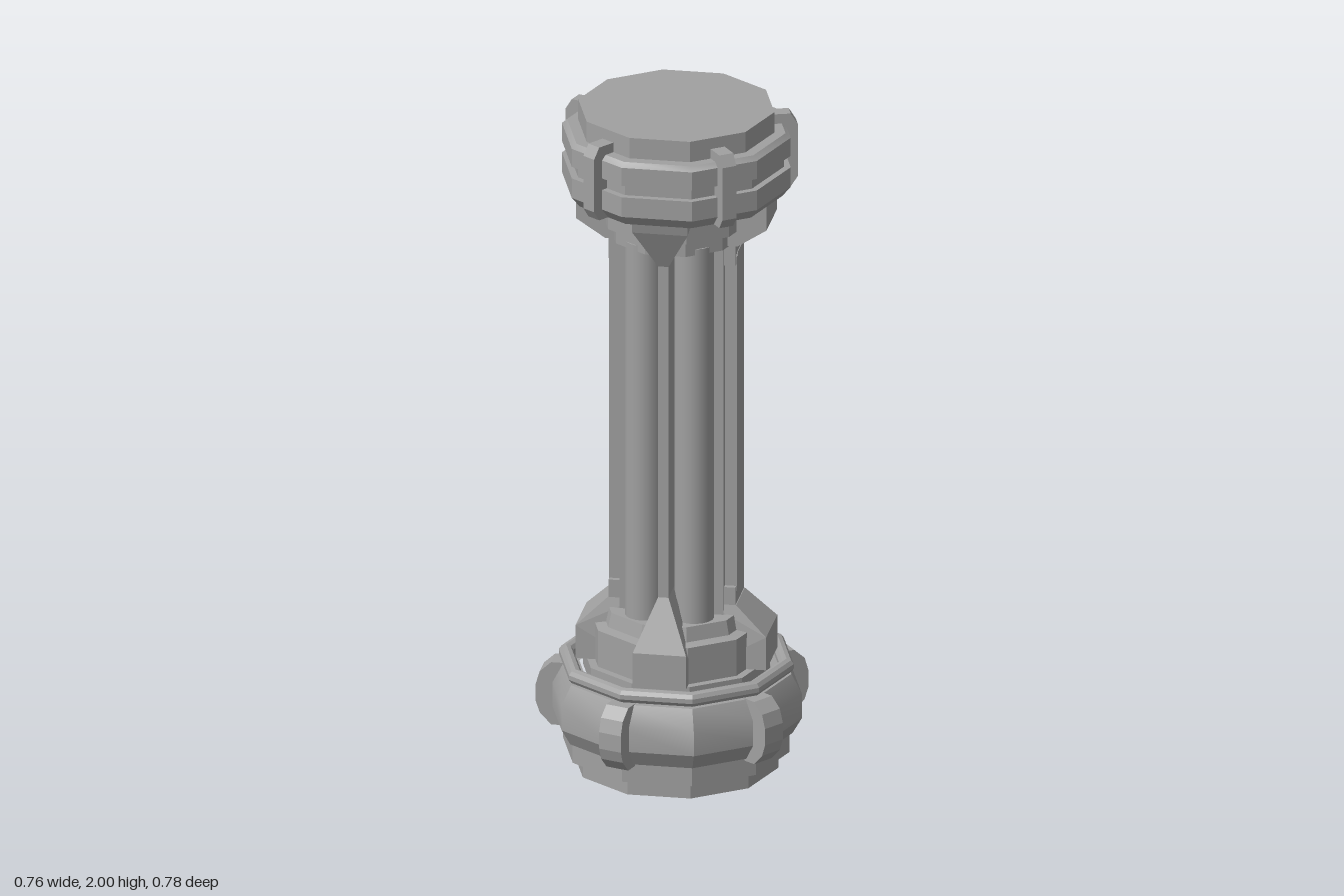
import * as THREE from 'three';
import { toCreasedNormals } from 'three/addons/utils/BufferGeometryUtils.js';
import { ConvexGeometry } from 'three/addons/geometries/ConvexGeometry.js';

const metal = new THREE.MeshStandardMaterial({ color: 0xa0a0a0 });
metal.name = 'grey metal';
const DEG = Math.PI / 180;

export function createModel() {
  const root = new THREE.Group();
  root.name = 'pillarHandle';
  root.position.x = 0.015;

  function add(name, geometry, degrees = 0) {
    const mesh = new THREE.Mesh(geometry, metal);
    mesh.name = name;
    mesh.rotation.y = degrees * DEG;
    root.add(mesh);
    return mesh;
  }

  // Ten-sided turned part with a corner on +x; profile runs from bottom to top
  function turned(name, profile) {
    const points = profile.map(([r, y]) => new THREE.Vector2(r, y));
    const lathe = new THREE.LatheGeometry(points, 10, Math.PI / 2);
    return add(name, toCreasedNormals(lathe, 0.5));
  }

  // Side profile (radius, height) given a tangential width
  function slab(profile, width) {
    const shape = new THREE.Shape(profile.map(([r, y]) => new THREE.Vector2(r, y)));
    const geometry = new THREE.ExtrudeGeometry(shape, { depth: width, bevelEnabled: false });
    return geometry.translate(0, 0, -width / 2);
  }

  // Solid block from [radius, height, half width] corners
  function block(corners) {
    const points = corners.flatMap(([r, y, w]) =>
      [new THREE.Vector3(r, y, w), new THREE.Vector3(r, y, -w)]);
    return new ConvexGeometry(points);
  }

  // Base, bulge and lower collar
  turned('base', [[0, 0], [0.295, 0], [0.295, 0.05], [0.327, 0.05], [0.327, 0.108],
    [0.335, 0.108], [0.362, 0.155], [0.362, 0.23], [0.332, 0.288], [0.28, 0.288]]);
  turned('lowerCollar', [[0.27, 0.28], [0.27, 0.33], [0.247, 0.33], [0.247, 0.44],
    [0.215, 0.445], [0.205, 0.487], [0, 0.487]]);

  // Rounded ring above the bulge
  const ring = [];
  for (let i = 0; i <= 10; i++) {
    const a = i * 36 * DEG;
    ring.push([0.318 + 0.022 * Math.sin(a), 0.312 - 0.022 * Math.cos(a)]);
  }
  turned('ring', ring);

  // Capital and banded head
  turned('head', [[0, 1.612], [0.19, 1.612], [0.19, 1.655], [0.215, 1.66], [0.215, 1.72],
    [0.25, 1.745], [0.305, 1.745], [0.33, 1.775], [0.33, 1.835], [0.31, 1.835], [0.31, 1.87],
    [0.33, 1.87], [0.33, 1.925], [0.315, 1.938], [0.283, 1.938], [0.283, 2], [0, 2]]);

  // Five clips around each end
  for (let i = 0; i < 5; i++) {
    add('lowerClip', slab([[0.31, 0.1], [0.355, 0.1], [0.388, 0.135], [0.4, 0.17],
      [0.4, 0.22], [0.388, 0.26], [0.355, 0.29], [0.31, 0.29]], 0.07), 36 + i * 72);
    add('upperClip', slab([[0.265, 1.745], [0.325, 1.745], [0.345, 1.775], [0.345, 1.935],
      [0.325, 1.967], [0.265, 1.967]], 0.044), 18 + i * 72);
  }

  // Shaft core and four round columns
  const core = add('shaftCore', new THREE.BoxGeometry(0.3, 1.16, 0.16));
  core.position.y = 1.05;
  for (const x of [-0.071, 0.071]) for (const z of [-0.108, 0.108]) {
    const column = add('column', new THREE.CylinderGeometry(0.057, 0.057, 1.16, 20));
    column.position.set(x, 1.05, z);
  }

  // Long rounded panels on the left and right
  const panel = new THREE.Shape();
  const w = 0.055, c = 0.02, low = 0.54, high = 1.583;
  panel.moveTo(-w + c, low);
  panel.lineTo(w - c, low);
  panel.quadraticCurveTo(w, low, w, low + c);
  panel.lineTo(w, high - c);
  panel.quadraticCurveTo(w, high, w - c, high);
  panel.lineTo(-w + c, high);
  panel.quadraticCurveTo(-w, high, -w, high - c);
  panel.lineTo(-w, low + c);
  panel.quadraticCurveTo(-w, low, -w + c, low);

  for (const angle of [0, 180]) {
    const geometry = new THREE.ExtrudeGeometry(panel,
      { depth: 0.085, bevelEnabled: false, curveSegments: 4 });
    geometry.translate(0, 0, 0.1).rotateY(Math.PI / 2);
    add('sidePanel', geometry, angle);
    // Broad side brackets
    add('lowerSideBracket', block([[0.1, 0.33, 0.09], [0.275, 0.33, 0.09],
      [0.275, 0.43, 0.09], [0.185, 0.515, 0.07], [0.1, 0.515, 0.07]]), angle);
    add('upperSideBracket', block([[0.1, 1.76, 0.083], [0.275, 1.76, 0.083],
      [0.275, 1.67, 0.083], [0.19, 1.615, 0.083], [0.1, 1.615, 0.083]]), angle);
    // Short tongues behind the panel ends
    for (const y of [0.535, 1.583]) {
      const tongue = slab([[0.1, y - 0.033], [0.183, y - 0.033],
        [0.183, y + 0.033], [0.1, y + 0.033]], 0.14);
      add('tongue', tongue, angle);
    }
  }

  // Front and back fins with pointed brackets
  for (const angle of [90, 270]) {
    add('fin', slab([[0, 0.47], [0.21, 0.47], [0.21, 1.63], [0, 1.63]], 0.03), angle);
    add('lowerPointedBracket', block([[0.1, 0.33, 0.077], [0.275, 0.33, 0.077],
      [0.275, 0.43, 0.077], [0.21, 0.58, 0.015], [0.1, 0.58, 0.015]]), angle);
    add('upperPointedBracket', block([[0.1, 1.75, 0.08], [0.275, 1.75, 0.08],
      [0.265, 1.71, 0.08], [0.21, 1.59, 0.015], [0.1, 1.59, 0.015]]), angle);
  }
  return root;
}
